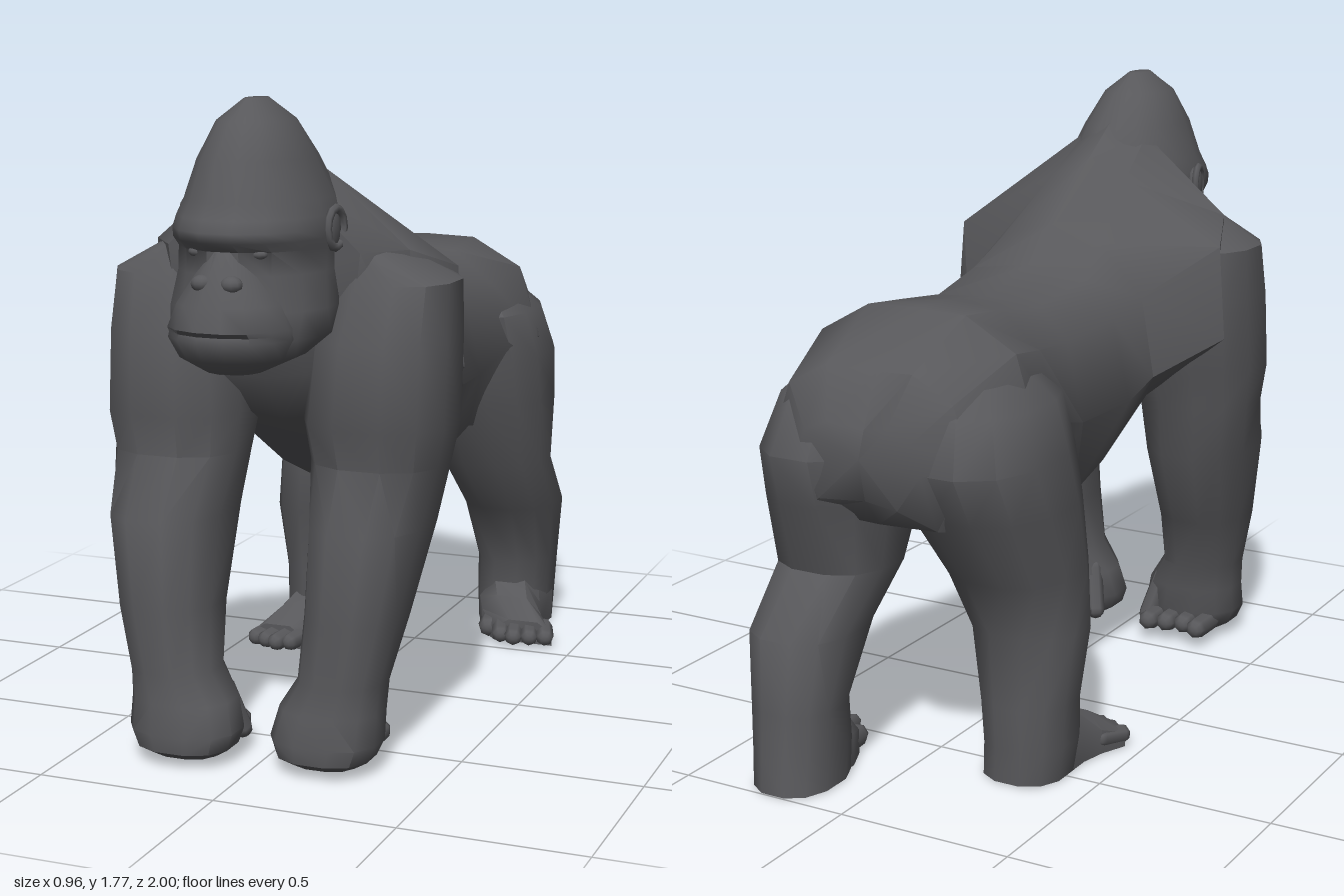
import * as THREE from 'three';
import { toCreasedNormals } from 'three/addons/utils/BufferGeometryUtils.js';

const fur = new THREE.MeshStandardMaterial({ color: 0x58585b });
fur.name = 'charcoal fur';

function add(group, name, geometry) {
  const mesh = new THREE.Mesh(geometry, fur);
  mesh.name = name;
  group.add(mesh);
  return mesh;
}

// Skin a list of equal-length closed rings, capped at both ends, facing outward
function loft(rings, crease = 0.8) {
  const n = rings[0].length;
  const points = rings.flat();
  const index = [];
  for (let r = 0; r < rings.length - 1; r++) {
    for (let i = 0; i < n; i++) {
      const a = r * n + i, b = r * n + (i + 1) % n;
      index.push(a, b, a + n, b, b + n, a + n);
    }
  }
  [0, rings.length - 1].forEach((r, end) => {
    const centre = new THREE.Vector3();
    rings[r].forEach((p) => centre.addScaledVector(p, 1 / n));
    const c = points.push(centre) - 1;
    for (let i = 0; i < n; i++) {
      const a = r * n + i, b = r * n + (i + 1) % n;
      if (end) index.push(a, b, c); else index.push(b, a, c);
    }
  });
  // Signed volume tells which way the faces point
  let volume = 0;
  const cross = new THREE.Vector3();
  for (let i = 0; i < index.length; i += 3) {
    volume += points[index[i]].dot(cross.crossVectors(points[index[i + 1]], points[index[i + 2]]));
  }
  if (volume < 0) index.reverse();
  const g = new THREE.BufferGeometry().setFromPoints(points);
  g.setIndex(index);
  return toCreasedNormals(g, crease);
}

// Rounded-square ring filling x0..x1 and z0..z1 at height y
function ring(y, x0, x1, z0, z1, n = 12, power = 0.85) {
  const reach = Math.cos(Math.PI / n);
  const bend = (v) => Math.sign(v) * (Math.abs(v) / reach) ** power;
  return Array.from({ length: n }, (_, i) => {
    const t = ((i + 0.5) / n) * Math.PI * 2;
    return new THREE.Vector3(
      (x0 + x1) / 2 + bend(Math.cos(t)) * (x1 - x0) / 2, y,
      (z0 + z1) / 2 + bend(Math.sin(t)) * (z1 - z0) / 2);
  });
}

// Limb from rows of [height, inner x, outer x, back z, front z]
const limb = (rows, side) =>
  loft(rows.map(([y, a, b, z0, z1]) => ring(y, side * a, side * b, z0, z1)));

// Symmetric form from rows of [height, half width, back z, front z]
const stack = (rows) => loft(rows.map(([y, w, z0, z1]) => ring(y, -w, w, z0, z1, 16, 0.95)), 1);

function ellipsoid(group, name, pos, radii) {
  const mesh = add(group, name, new THREE.SphereGeometry(1, 10, 8).scale(...radii));
  mesh.position.set(...pos);
}

// Rounded finger or toe between two points
function digit(group, name, from, to, radius) {
  const a = new THREE.Vector3(...from), b = new THREE.Vector3(...to);
  const mesh = add(group, name, new THREE.CapsuleGeometry(radius, a.distanceTo(b), 3, 7));
  mesh.position.copy(a).lerp(b, 0.5);
  mesh.quaternion.setFromUnitVectors(new THREE.Vector3(0, 1, 0), b.sub(a).normalize());
}

function makeTorso(group) {
  // z, top, ridge x/y, shoulder x/y, flank x/y, belly x/y, bottom
  const rows = [
    [-0.895, 1.01, 0.09, 1.03, 0.16, 1.00, 0.19, 0.92, 0.12, 0.82, 0.82],
    [-0.83, 1.15, 0.13, 1.165, 0.25, 1.10, 0.30, 0.95, 0.20, 0.76, 0.74],
    [-0.60, 1.28, 0.15, 1.275, 0.30, 1.19, 0.365, 0.98, 0.26, 0.70, 0.67],
    [-0.42, 1.27, 0.15, 1.255, 0.27, 1.16, 0.325, 0.97, 0.20, 0.72, 0.69],
    [-0.23, 1.24, 0.16, 1.23, 0.25, 1.14, 0.30, 0.92, 0.15, 0.63, 0.61],
    [0.00, 1.29, 0.18, 1.265, 0.27, 1.16, 0.325, 0.93, 0.15, 0.635, 0.62],
    [0.14, 1.385, 0.16, 1.34, 0.29, 1.20, 0.33, 0.97, 0.17, 0.70, 0.67],
    [0.36, 1.545, 0.12, 1.49, 0.43, 1.32, 0.45, 1.05, 0.20, 0.85, 0.82],
    [0.54, 1.665, 0.10, 1.60, 0.36, 1.38, 0.36, 1.10, 0.18, 0.94, 0.91],
    [0.66, 1.60, 0.09, 1.55, 0.27, 1.38, 0.25, 1.20, 0.12, 1.06, 1.04],
  ];
  add(group, 'torso', loft(rows.map(([z, top, ...rest]) => {
    const bottom = rest.pop();
    const half = [0, 2, 4, 6].map((i) => [rest[i], rest[i + 1]]);
    const outline = [[0, top], ...half, [0, bottom],
      ...half.map(([x, y]) => [-x, y]).reverse()];
    // The middle of the rump is drawn in between the buttocks
    const cleft = z < -0.8 ? 0.035 : 0;
    return outline.map(([x, y]) => new THREE.Vector3(x, y, x === 0 ? z + cleft : z));
  })));
}

function makeHead(group) {
  // Skull with a tall crest and an overhanging brow
  add(group, 'head', stack([
    [1.77, 0.025, 0.64, 0.74], [1.715, 0.095, 0.57, 0.81], [1.62, 0.14, 0.48, 0.88],
    [1.52, 0.18, 0.42, 0.905], [1.48, 0.195, 0.41, 0.93], [1.45, 0.20, 0.40, 0.95],
    [1.425, 0.20, 0.40, 0.945], [1.40, 0.20, 0.40, 0.905], [1.34, 0.20, 0.42, 0.905],
    [1.25, 0.215, 0.47, 0.92], [1.18, 0.205, 0.54, 0.925], [1.13, 0.155, 0.63, 0.92],
    [1.09, 0.07, 0.74, 0.90],
  ]));
  // Muzzle and jaw with a groove for the mouth
  add(group, 'muzzle', stack([
    [1.40, 0.035, 0.80, 0.915], [1.34, 0.09, 0.74, 0.95], [1.27, 0.14, 0.69, 0.985],
    [1.21, 0.165, 0.68, 1.0], [1.197, 0.165, 0.69, 0.985], [1.183, 0.168, 0.68, 0.99],
    [1.13, 0.14, 0.70, 0.965], [1.095, 0.07, 0.75, 0.92],
  ]));
  for (const s of [1, -1]) {
    ellipsoid(group, 'nostril', [s * 0.04, 1.325, 0.94], [0.03, 0.022, 0.025]);
    ellipsoid(group, 'eye', [s * 0.085, 1.395, 0.872], [0.024, 0.014, 0.018]);
    // Ear shell and rim
    ellipsoid(group, 'ear', [s * 0.2, 1.44, 0.675], [0.018, 0.055, 0.04]);
    const rim = add(group, 'earRim', new THREE.TorusGeometry(0.043, 0.011, 6, 12).scale(0.85, 1.15, 1));
    rim.position.set(s * 0.21, 1.445, 0.675);
    rim.rotation.y = Math.PI / 2 - s * 0.2;
  }
}

function makeArm(group, side) {
  // The right arm is planted slightly further forward and outward
  const step = side < 0 ? 0.05 : 0;
  const arm = new THREE.Group();
  arm.name = side > 0 ? 'leftArm' : 'rightArm';
  group.add(arm);
  const rows = [
    [1.38, 0.20, 0.33, 0.42, 0.62], [1.30, 0.15, 0.475, 0.335, 0.67],
    [1.15, 0.11, 0.48, 0.32, 0.72], [0.93, 0.09, 0.48, 0.34, 0.735],
    [0.82, 0.10, 0.455, 0.365, 0.69], [0.66, 0.11, 0.42, 0.345, 0.755],
    [0.42, 0.115, 0.375, 0.46, 0.77], [0.25, 0.105, 0.335, 0.53, 0.77],
    [0.17, 0.055, 0.33, 0.54, 0.775], [0.09, 0.035, 0.33, 0.55, 0.795],
    [0.045, 0.05, 0.31, 0.56, 0.79], [0.02, 0.09, 0.27, 0.60, 0.75],
  ].map(([y, a, b, z0, z1]) => {
    const k = step * THREE.MathUtils.clamp((0.95 - y) / 0.3, 0, 1);
    return [y, a + k * 0.4, b + k * 0.5, z0 + k, z1 + k];
  });
  add(arm, 'armAndFist', limb(rows, side));
  // Fingers folded back under the knuckles
  for (let i = 0; i < 4; i++) {
    const x = side * (0.10 + i * 0.055 + step * 0.5);
    digit(arm, 'finger', [x, 0.06, 0.70], [x, 0.062, 0.505 + step + (i % 3) * 0.012], 0.032);
  }
  const x = step * 0.5;
  digit(arm, 'thumb', [side * (0.10 + x), 0.18, 0.60 + step], [side * (0.07 + x), 0.06, 0.56 + step], 0.03);
}

function makeLeg(group, side, rows, ankle, toes, spread) {
  const leg = new THREE.Group();
  leg.name = side > 0 ? 'leftLeg' : 'rightLeg';
  group.add(leg);
  add(leg, 'thighAndShin', limb(rows, side));
  // Foot slopes down from the ankle to the toes and turns outward
  const section = ([z, x0, x1, top]) => [[x0, 0.005], [x1, 0.005], [x1, top * 0.6],
    [x1 * 0.75 + x0 * 0.25, top], [x0 * 0.75 + x1 * 0.25, top], [x0, top * 0.6]]
    .map(([x, y]) => new THREE.Vector3(side * x, y, z));
  const [ax0, ax1] = ankle.x, [tx0, tx1] = spread;
  add(leg, 'foot', loft([
    [ankle.z - 0.14, ax0, ax1, 0.19],
    [ankle.z, ax0, ax1, 0.16],
    [(ankle.z * 2 + toes) / 3, (ax0 * 2 + tx0) / 3, (ax1 * 2 + tx1) / 3, 0.125],
    [toes - 0.07, tx0, tx1, 0.075],
  ].map(section)));
  for (let i = 0; i < 4; i++) {
    const x = tx0 + 0.025 + (tx1 - tx0 - 0.05) * i / 3;
    digit(leg, 'toe', [side * (x - 0.02), 0.045, toes - 0.13],
      [side * (x + 0.005), 0.035, toes - 0.03 - Math.abs(i - 1) * 0.015], 0.028);
  }
  digit(leg, 'bigToe', [side * (ax0 + 0.05), 0.045, ankle.z], [side * (tx0 - 0.03), 0.035, toes - 0.11], 0.033);
}

export function createModel() {
  const model = new THREE.Group();
  model.name = 'gorilla';
  makeTorso(model);
  makeHead(model);
  makeArm(model, 1);
  makeArm(model, -1);
  // Left leg pushes back, right leg steps forward
  makeLeg(model, 1, [
    [1.16, 0.10, 0.24, -0.72, -0.48], [1.06, 0.04, 0.345, -0.84, -0.36],
    [0.92, 0.015, 0.375, -0.92, -0.37], [0.78, 0.015, 0.38, -0.88, -0.42],
    [0.58, 0.05, 0.375, -0.82, -0.49], [0.42, 0.09, 0.38, -0.95, -0.60],
    [0.22, 0.11, 0.35, -0.97, -0.72], [0.10, 0.11, 0.34, -0.985, -0.71],
    [0.005, 0.11, 0.33, -1.00, -0.72],
  ], { z: -0.73, x: [0.14, 0.34] }, -0.50, [0.24, 0.43]);
  makeLeg(model, -1, [
    [1.16, 0.10, 0.26, -0.72, -0.46], [1.06, 0.04, 0.375, -0.84, -0.36],
    [0.92, 0.015, 0.415, -0.885, -0.34], [0.78, 0.02, 0.43, -0.82, -0.33],
    [0.58, 0.08, 0.425, -0.69, -0.31], [0.42, 0.12, 0.435, -0.62, -0.34],
    [0.22, 0.16, 0.415, -0.63, -0.37], [0.10, 0.17, 0.41, -0.63, -0.36],
    [0.005, 0.17, 0.40, -0.63, -0.38],
  ], { z: -0.40, x: [0.20, 0.40] }, -0.18, [0.28, 0.45]);
  return model;
}
